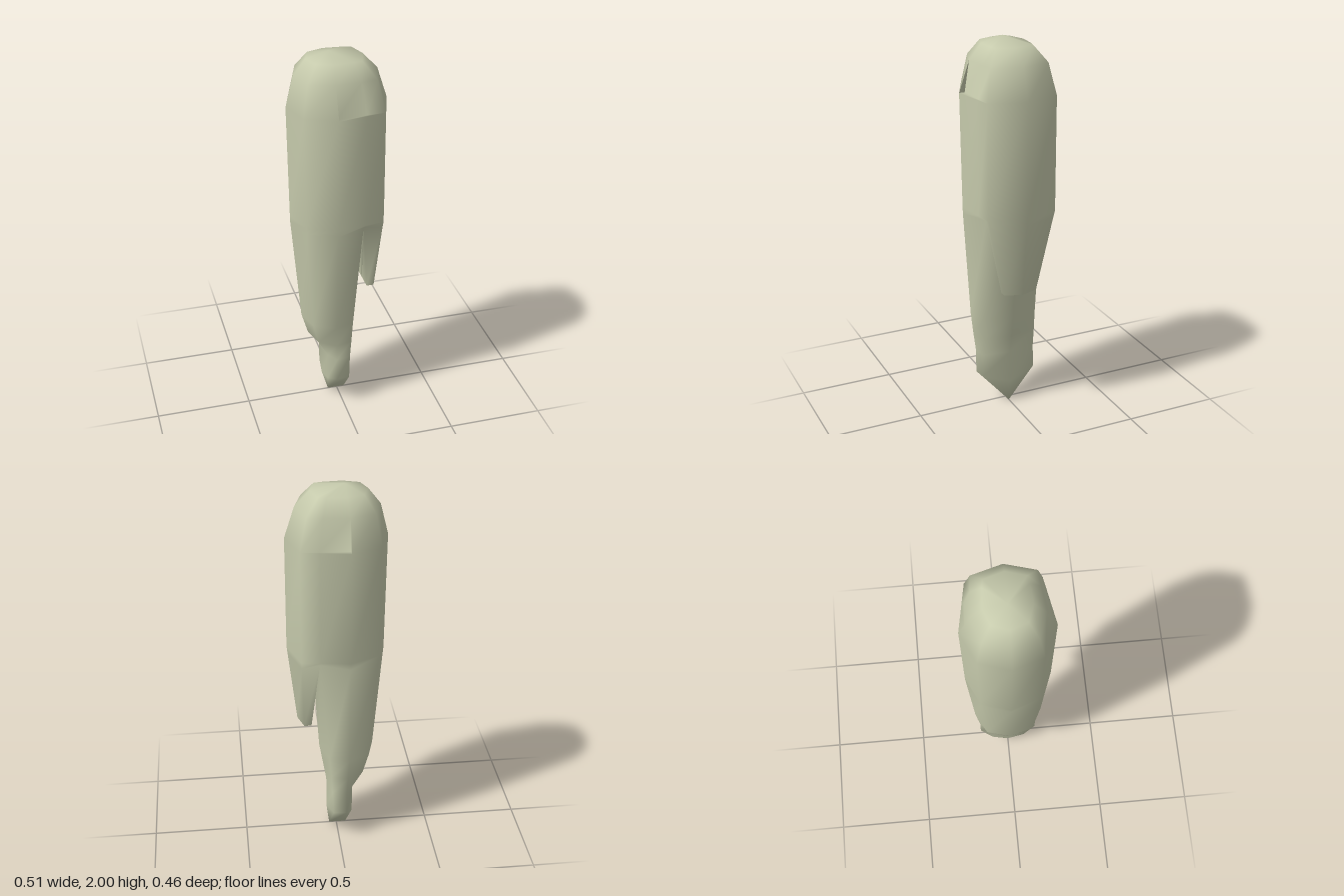
import * as THREE from 'three';
import { mergeGeometries, mergeVertices } from 'three/addons/utils/BufferGeometryUtils.js';

// Complete a half outline (left tip -> front -> right tip) with its mirror in z.
const mirrorRing = half => [
  ...half,
  ...half.slice(1, -1).reverse().map(([x, y, z]) => [x, y, -z]),
];

// Skin between rings listed from bottom to top; optionally close the bottom.
function loft(halves, capBottom = false) {
  const rings = halves.map(mirrorRing);
  const n = rings[0].length;
  const pos = [];
  const tri = (a, b, c) => {
    const [A, B, C] = [a, b, c].map(p => new THREE.Vector3(...p));
    const area = B.clone().sub(A).cross(C.clone().sub(A)).length();
    if (area > 1e-7) pos.push(...a, ...b, ...c);
  };
  for (let i = 0; i < rings.length - 1; i++) {
    for (let j = 0; j < n; j++) {
      const k = (j + 1) % n;
      const [a, b, c, d] = [rings[i][j], rings[i][k], rings[i + 1][k], rings[i + 1][j]];
      tri(a, b, c);
      tri(a, c, d);
    }
  }
  if (capBottom) {
    for (let j = 1; j < n - 1; j++) tri(rings[0][0], rings[0][j + 1], rings[0][j]);
  }
  const g = new THREE.BufferGeometry();
  g.setAttribute('position', new THREE.Float32BufferAttribute(pos, 3));
  return g;
}

// Ring at one height from [x, z] pairs.
const level = (y, pts) => pts.map(([x, z]) => [x, y, z]);

export function createModel() {
  const fork = 1.095; // height where the body splits in two
  const left = [[-0.245, 0], [-0.195, 0.153], [-0.05, 0.219]];
  const notch = [0.1, 0.155];
  const outer = [[0.193, 0.177], [0.252, 0]];
  const inner = [0.13, 0];
  const side = [[0.195, 0.185], [0.256, 0]];

  // Upper body and dome, with a small shelf where the right half is recessed
  const upper = loft([
    level(fork, [...left, left[2], notch, ...outer]),
    level(1.13, [[-0.246, 0], [-0.197, 0.153], [-0.05, 0.22], [-0.05, 0.22], [0.1, 0.1985], ...side]),
    level(1.73, [[-0.256, 0], [-0.205, 0.157], [-0.05, 0.23], [-0.05, 0.23], [0.1, 0.2025], ...side]),
    level(1.73, [[-0.256, 0], [-0.205, 0.157], [-0.05, 0.23], [-0.05, 0.2], [0.1, 0.192], ...side]),
    level(1.89, [[-0.217, 0], [-0.177, 0.131], [-0.05, 0.175], [-0.05, 0.175], [0.08, 0.163], [0.16, 0.155], [0.205, 0]]),
    level(1.97, [[-0.155, 0], [-0.125, 0.085], [-0.04, 0.115], [-0.04, 0.115], [0.06, 0.108], [0.1, 0.1], [0.13, 0]]),
    level(2.0, Array(7).fill([-0.04, 0])),
  ]);

  // Tapering lower body ending in a wedge
  const lower = loft([
    [[-0.05, 0, 0], [-0.05, 0, 0], [-0.05, 0, 0], [0.04, 0, 0], [0.04, 0, 0]],
    [[-0.085, 0.12, 0], [-0.075, 0.14, 0.09], [-0.04, 0.17, 0.157], [0.03, 0.17, 0.15], [0.055, 0.12, 0]],
    level(0.3, [[-0.085, 0], [-0.075, 0.1], [-0.04, 0.158], [0.035, 0.145], [0.055, 0]]),
    level(0.4, [[-0.16, 0], [-0.13, 0.11], [-0.045, 0.17], [0.042, 0.147], [0.072, 0]]),
    level(0.52, [[-0.195, 0], [-0.16, 0.125], [-0.05, 0.182], [0.05, 0.148], [0.092, 0]]),
    level(fork, [...left, notch, inner]),
  ]);

  // Short tapering prong on the left side
  const prong = loft([
    level(0.7, [[0.14, 0], [0.14, 0.09], [0.178, 0.09], [0.207, 0]]),
    level(fork, [inner, notch, ...outer]),
  ], true);

  // Smooth the normals across all parts together, then split them again
  const parts = { upperBody: upper, lowerBody: lower, sideProng: prong };
  const welded = mergeVertices(mergeGeometries(Object.values(parts)));
  welded.computeVertexNormals();
  const all = welded.toNonIndexed();
  const material = new THREE.MeshStandardMaterial({ color: 0xc6caac });
  const group = new THREE.Group();
  let start = 0;
  for (const [name, part] of Object.entries(parts)) {
    const end = start + part.attributes.position.count * 3;
    const g = new THREE.BufferGeometry();
    for (const key of ['position', 'normal']) {
      g.setAttribute(key, new THREE.BufferAttribute(all.attributes[key].array.slice(start, end), 3));
    }
    start = end;
    const mesh = new THREE.Mesh(g, material);
    mesh.name = name;
    group.add(mesh);
  }
  return group;
}
